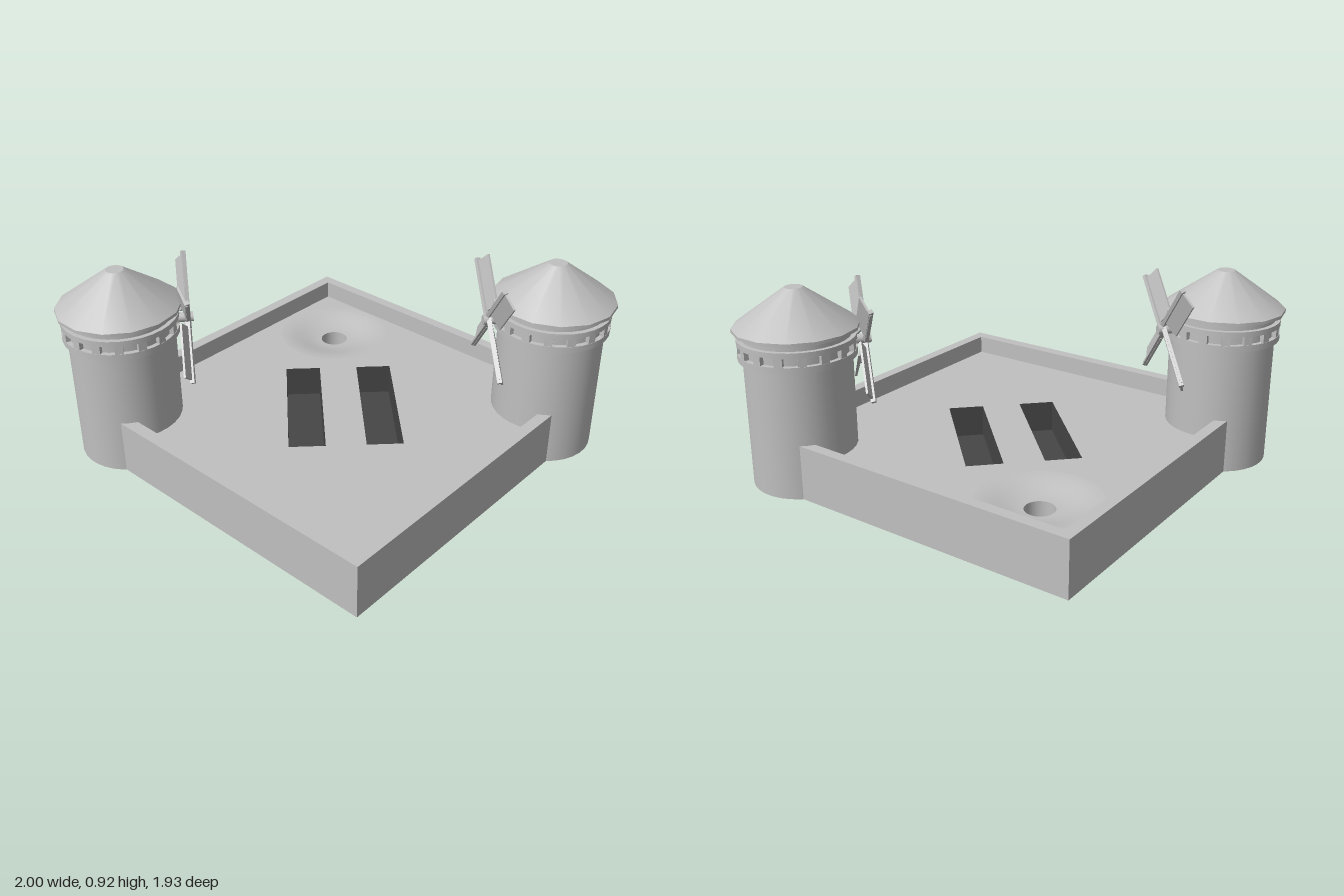
import * as THREE from 'three';

const stone = new THREE.MeshStandardMaterial({ color: 0xc0c0c0 });
stone.name = 'stone grey';
const dark = new THREE.MeshStandardMaterial({ color: 0x464646 });
dark.name = 'dark grey';

const FLOOR = 0.17, WALL = 0.26;
const HOLE = { x: -0.5, z: -0.53, r: 0.068, rim: 0.13, bottom: 0.03, reach: 0.28 };
const SLOTS = [[0.129, -0.154], [-0.124, 0.098]];
const SLOT_L = 0.68, SLOT_W = 0.17;

function add(parent, name, geometry, x = 0, y = 0, z = 0, material = stone) {
  const mesh = new THREE.Mesh(geometry, material);
  mesh.name = name;
  mesh.position.set(x, y, z);
  parent.add(mesh);
  return mesh;
}

// Outline from [x, z] corners; z is flipped because shapes are laid down by rotateX(-90°)
function outline(corners, Type = THREE.Path) {
  return new Type(corners.map(([x, z]) => new THREE.Vector2(x, -z)));
}
const rect = (x0, x1, z0, z1) => [[x0, z0], [x0, z1], [x1, z1], [x1, z0]];
const lathe = (points, n = 40) =>
  new THREE.LatheGeometry(points.map(([r, y]) => new THREE.Vector2(r, y)), n);

function makeCourt() {
  const court = new THREE.Group();
  court.name = 'court';

  // Surrounding wall
  const ring = outline(rect(-0.86, 0.875, -0.867, 0.865), THREE.Shape);
  ring.holes.push(outline(rect(-0.805, 0.82, -0.815, 0.805)));
  const wall = new THREE.ExtrudeGeometry(ring, { depth: WALL, bevelEnabled: false });
  add(court, 'wall', wall.rotateX(-Math.PI / 2));
  add(court, 'bottomPlate', new THREE.BoxGeometry(1.63, 0.01, 1.625), 0.0075, 0.005, -0.005);

  // Floor with openings for the two pits and the dished hole
  const floor = outline(rect(-0.806, 0.821, -0.816, 0.806), THREE.Shape);
  const c = Math.SQRT1_2;
  for (const [x, z] of SLOTS) {
    floor.holes.push(outline([[-1, -1], [1, -1], [1, 1], [-1, 1]].map(([a, b]) => {
      const u = a * SLOT_L / 2, v = b * SLOT_W / 2;
      return [x + c * (u - v), z + c * (u + v)];
    })));
  }
  const rim = [];
  for (let i = 0; i < 40; i++) {
    const t = i / 40 * Math.PI * 2;
    rim.push([HOLE.x + HOLE.reach * Math.sin(t), HOLE.z + HOLE.reach * Math.cos(t)]);
  }
  floor.holes.push(outline(rim));
  add(court, 'floor', new THREE.ShapeGeometry(floor).rotateX(-Math.PI / 2), 0, FLOOR, 0);

  // Soft dish running down to a cup
  const dish = [];
  for (let i = 0; i <= 8; i++) {
    const t = i / 8, s = t * t * (3 - 2 * t);
    dish.push([HOLE.reach + (HOLE.r - HOLE.reach) * t, FLOOR + (HOLE.rim - FLOOR) * s]);
  }
  add(court, 'dish', lathe(dish), HOLE.x, 0, HOLE.z);
  add(court, 'cupWall', lathe([[HOLE.r, HOLE.rim], [HOLE.r, HOLE.bottom]]), HOLE.x, 0, HOLE.z);
  add(court, 'cupFloor', new THREE.CircleGeometry(HOLE.r, 40).rotateX(-Math.PI / 2),
    HOLE.x, HOLE.bottom, HOLE.z);

  // Pits: boxes turned inside out, without their top face
  for (const [x, z] of SLOTS) {
    const pit = new THREE.BoxGeometry(SLOT_L, FLOOR - 0.015, SLOT_W);
    const index = Array.from(pit.index.array);
    index.splice(12, 6);
    pit.setIndex(index);
    pit.clearGroups();
    pit.scale(-1, 1, 1);
    pit.computeVertexNormals();
    add(court, 'pit', pit, x, (FLOOR + 0.015) / 2, z, dark).rotation.y = -Math.PI / 4;
  }
  return court;
}

function makeSails() {
  const sails = new THREE.Group();
  sails.name = 'sails';
  add(sails, 'hub', new THREE.CylinderGeometry(0.022, 0.022, 0.1, 12).rotateX(Math.PI / 2), 0, 0, -0.015);
  for (let i = 0; i < 4; i++) {
    const arm = new THREE.Group();
    arm.name = 'sailArm';
    arm.rotation.z = Math.PI / 4 + i * Math.PI / 2 + 0.06;
    const blade = new THREE.Group();
    blade.name = 'blade';
    blade.rotation.x = 0.35;
    add(blade, 'spar', new THREE.BoxGeometry(0.31, 0.018, 0.022), 0.155, 0.015, 0.004);
    add(blade, 'panel', new THREE.BoxGeometry(0.25, 0.1, 0.01), 0.17, -0.022, 0);
    arm.add(blade);
    sails.add(arm);
  }
  return sails;
}

function makeTower() {
  const tower = new THREE.Group();
  tower.name = 'windmill';
  add(tower, 'body', new THREE.CylinderGeometry(0.245, 0.245, 0.735, 32), 0, 0.3675, 0);

  // Gallery band: two hoops joined by posts
  add(tower, 'lowerHoop', new THREE.CylinderGeometry(0.267, 0.267, 0.03, 32), 0, 0.62, 0);
  add(tower, 'upperHoop', new THREE.CylinderGeometry(0.267, 0.267, 0.025, 32), 0, 0.688, 0);
  for (let i = 0; i < 16; i++) {
    const a = i / 16 * Math.PI * 2;
    add(tower, 'post', new THREE.BoxGeometry(0.038, 0.044, 0.025),
      Math.sin(a) * 0.252, 0.655, Math.cos(a) * 0.252).rotation.y = a;
  }

  // Roof
  add(tower, 'eave', new THREE.CylinderGeometry(0.285, 0.285, 0.015, 14), 0, 0.74, 0);
  add(tower, 'roof', new THREE.CylinderGeometry(0.042, 0.285, 0.173, 14), 0, 0.834, 0);

  const sails = makeSails();
  sails.position.set(0, 0.655, 0.295);
  tower.add(sails);
  return tower;
}

export function createModel() {
  const model = new THREE.Group();
  model.name = 'windmillCourt';
  model.add(makeCourt());
  // Two windmills on opposite corners, sails facing the middle
  for (const s of [1, -1]) {
    const tower = makeTower();
    tower.position.set(-0.715 * s, 0, 0.685 * s);
    tower.rotation.y = 2.456 + (s < 0 ? Math.PI : 0);
    model.add(tower);
  }
  return model;
}
